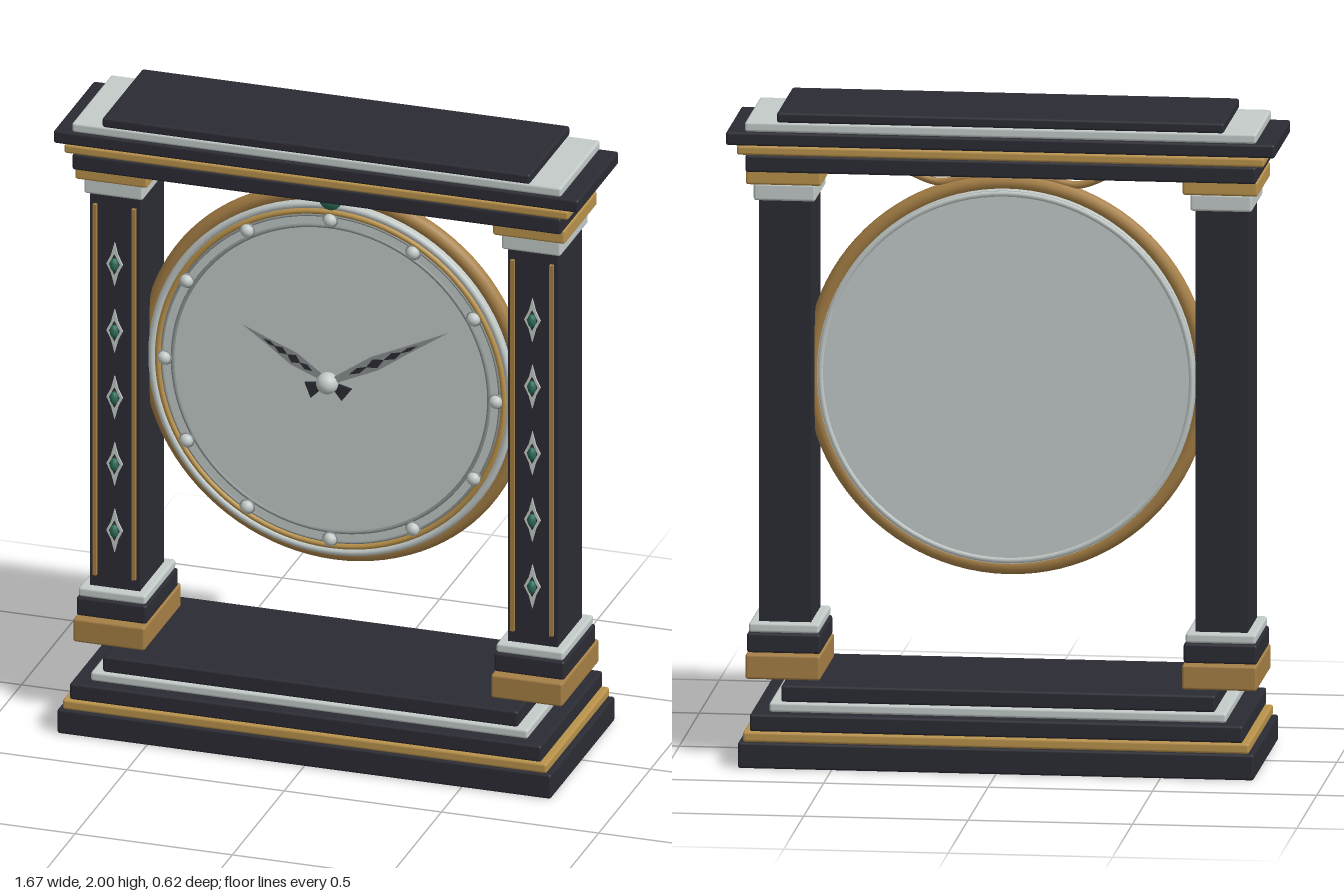
import * as THREE from 'three';
import { RoundedBoxGeometry } from 'three/addons/geometries/RoundedBoxGeometry.js';

const mat = (name, color) => {
  const m = new THREE.MeshStandardMaterial({ color });
  m.name = name;
  return m;
};

export function createModel() {
  const onyx = mat('onyx', 0x2b2b34);
  const silver = mat('silver', 0xc3cbc9);
  const gold = mat('gold', 0xb9924b);
  const antique = mat('antique gold', 0xa67f45);
  const steel = mat('steel', 0x8b9192);
  const green = mat('emerald', 0x2c6b58);

  const model = new THREE.Group();
  model.name = 'mantelClock';

  const add = (parent, name, geo, material, x = 0, y = 0, z = 0) => {
    const m = new THREE.Mesh(geo, material);
    m.name = name;
    m.position.set(x, y, z);
    parent.add(m);
    return m;
  };
  const group = (parent, name, x = 0, y = 0, z = 0) => {
    const g = new THREE.Group();
    g.name = name;
    g.position.set(x, y, z);
    parent.add(g);
    return g;
  };
  // slab given by half width, bottom, top and half depth
  const slab = (parent, name, material, hw, y0, y1, hd) =>
    add(parent, name, new RoundedBoxGeometry(2 * hw, y1 - y0, 2 * hd, 2, 0.008),
      material, 0, (y0 + y1) / 2, 0);
  // thin plate cut from a closed outline
  const plate = (points, depth) => new THREE.ExtrudeGeometry(
    new THREE.Shape(points.map(([x, y]) => new THREE.Vector2(x, y))),
    { depth, bevelEnabled: false });

  // stepped base
  const base = group(model, 'base');
  [
    [onyx, 0.785, 0, 0.08, 0.31],
    [gold, 0.77, 0.08, 0.112, 0.305],
    [onyx, 0.75, 0.112, 0.165, 0.298],
    [silver, 0.695, 0.165, 0.195, 0.26],
    [onyx, 0.66, 0.195, 0.247, 0.25],
  ].forEach((s, i) => slab(base, `baseStep${i + 1}`, ...s));

  // entablature
  const top = group(model, 'entablature');
  [
    [onyx, 0.777, 1.813, 1.866, 0.19],
    [gold, 0.802, 1.866, 1.895, 0.194],
    [onyx, 0.835, 1.895, 1.937, 0.195],
    [silver, 0.778, 1.937, 1.968, 0.19],
    [onyx, 0.68, 1.968, 2, 0.194],
  ].forEach((s, i) => slab(top, `topStep${i + 1}`, ...s));

  // pillars with inlaid fronts
  const star = plate([[0, 0.072], [0.011, 0.03], [0.026, 0], [0.011, -0.03],
    [0, -0.072], [-0.011, -0.03], [-0.026, 0], [-0.011, 0.03]], 0.006);
  const starInset = plate([[0, 0.034], [0.017, 0], [0, -0.034], [-0.017, 0]], 0.002);
  for (const side of [-1, 1]) {
    const p = group(model, side > 0 ? 'leftPillar' : 'rightPillar', side * 0.664);
    slab(p, 'plinth', antique, 0.114, 0.248, 0.325, 0.178);
    slab(p, 'footBlock', onyx, 0.112, 0.325, 0.386, 0.153);
    slab(p, 'footCollar', silver, 0.107, 0.386, 0.416, 0.147);
    add(p, 'shaft', new THREE.BoxGeometry(0.158, 1.31, 0.234), onyx, 0, 1.068, 0);
    slab(p, 'neckCollar', silver, 0.094, 1.715, 1.768, 0.135);
    slab(p, 'capital', gold, 0.115, 1.768, 1.815, 0.157);
    for (const s of [-1, 1])
      add(p, 'goldStrip', new THREE.BoxGeometry(0.012, 1.225, 0.014), antique, s * 0.062, 1.067, 0.122);
    for (let i = 0; i < 5; i++) {
      const y = 0.608 + i * 0.22;
      add(p, 'gemStar', star, silver, 0, y, 0.117);
      add(p, 'gemSetting', starInset, onyx, 0, y, 0.122);
      const gem = add(p, 'gem', new THREE.SphereGeometry(0.018, 16, 10), green, 0, y, 0.124);
      gem.scale.set(0.75, 1.2, 0.9);
    }
  }

  // dial, centred on its own axis
  const dial = group(model, 'dial', 0, 1.172, 0);
  const drum = add(dial, 'drum', new THREE.CylinderGeometry(0.575, 0.575, 0.1, 96), silver);
  drum.rotation.x = Math.PI / 2;
  const ring = (name, material, r, tube, z) =>
    add(dial, name, new THREE.TorusGeometry(r, tube, 10, 96), material, 0, 0, z);
  ring('outerRing', antique, 0.591, 0.026, 0);
  ring('silverBezel', silver, 0.57, 0.012, 0.045);
  ring('goldBezel', gold, 0.55, 0.009, 0.05);
  ring('bezelLine', steel, 0.537, 0.004, 0.05);
  ring('chapterRing', steel, 0.503, 0.006, 0.05);
  ring('backRim', silver, 0.565, 0.01, -0.045);

  // hour beads in small cups
  for (let i = 0; i < 12; i++) {
    const a = i * Math.PI / 6;
    const x = 0.527 * Math.sin(a), y = 0.527 * Math.cos(a);
    add(dial, 'hourCup', new THREE.TorusGeometry(0.021, 0.004, 6, 20), steel, x, y, 0.055);
    add(dial, 'hourBead', new THREE.SphereGeometry(0.021, 16, 12), silver, x, y, 0.058);
  }

  // hands with dark diamond inlays and triangular tails
  const hand = (name, tipX, tipY, z) => {
    const len = Math.hypot(tipX, tipY);
    const h = group(dial, name, 0, 0, z);
    h.rotation.z = -Math.atan2(tipX, tipY);
    const w = 0.023;
    add(h, 'blade', plate([[-0.007, 0], [0.007, 0], [w, len * 0.4], [0.011, len * 0.68],
      [0, len], [-0.011, len * 0.68], [-w, len * 0.4]], 0.008), steel);
    for (const [t, s] of [[0.26, 0.009], [0.4, 0.015], [0.55, 0.011], [0.68, 0.006]]) {
      const c = t * len, k = len * 0.075;
      add(h, 'inlay', plate([[0, c - k], [s, c], [0, c + k], [-s, c]], 0.002), onyx, 0, 0, 0.007);
    }
    add(h, 'tail', plate([[0, 0.01], [-0.03, -0.065], [0.022, -0.072]], 0.008), onyx);
  };
  hand('hourHand', -0.275, 0.153, 0.066);
  hand('minuteHand', 0.382, 0.218, 0.08);
  add(dial, 'handHub', new THREE.SphereGeometry(0.034, 24, 16), silver, 0, 0, 0.085);
  const post = add(dial, 'handPost', new THREE.CylinderGeometry(0.012, 0.012, 0.04, 16), steel, 0, 0, 0.066);
  post.rotation.x = Math.PI / 2;

  // hanging bracket and crowning orb
  for (const s of [-1, 1]) {
    const path = new THREE.CatmullRomCurve3([[0.56, 1.81], [0.42, 1.81], [0.34, 1.805],
      [0.215, 1.76], [0.12, 1.775], [0, 1.785]].map(([x, y]) => new THREE.Vector3(s * x, y, 0)));
    add(model, 'bracket', new THREE.TubeGeometry(path, 40, 0.012, 8), antique);
  }
  add(model, 'crownOrb', new THREE.SphereGeometry(0.037, 24, 16), green, 0, 1.767, 0.045);

  return model;
}
